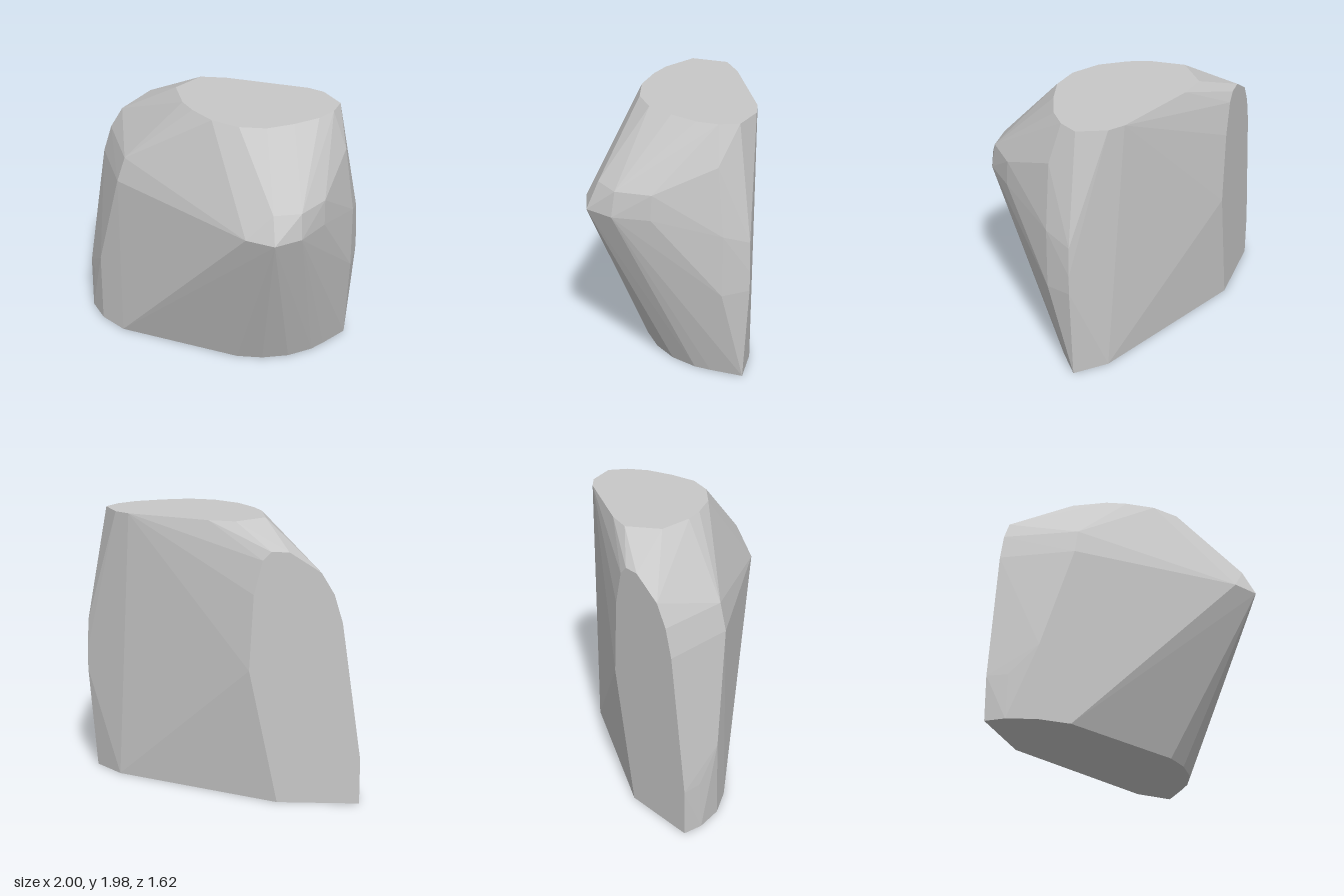
import * as THREE from 'three';
import { ConvexGeometry } from 'three/addons/geometries/ConvexGeometry.js';

const TOP = 1.975;
const BACK = -0.81;

// Flat foot of the boulder, as [x, z]
const foot = [
  [-1, -0.81], [-1, -0.66], [-0.93, -0.46], [-0.78, -0.27], [0.07, 0.19], [0.26, 0.23],
  [0.46, 0.22], [0.65, 0.15], [0.75, 0.08], [0.94, -0.07], [0.75, -0.27], [-0.42, -0.81],
];

// Flat cut top, as [x, z]
const crown = [
  [-0.32, -0.46], [-0.29, -0.2], [-0.23, -0.06], [-0.11, 0.12], [0.07, 0.25], [0.26, 0.29],
  [0.46, 0.24], [0.65, 0.16], [0.77, 0.06], [0.84, -0.07], [0.75, -0.27], [0.65, -0.35],
  [0.07, -0.59], [-0.12, -0.63],
];

// Outline of the flat back face above the foot, as [x, y]
const back = [
  [-1, 0.33], [-0.97, 0.53], [-0.86, 1.31], [-0.8, 1.51], [-0.71, 1.66],
  [-0.49, 1.8], [-0.37, 1.8], [-0.31, 1.74], [-0.25, 1.5], [-0.22, 0.96],
];

// Corners of the bulging front and sides, as [x, y, z]
const bulge = [
  [-0.98, 0.33, -0.66], [-0.93, 0.55, -0.46], [-0.78, 1.32, -0.27], [-0.72, 1.51, -0.27],
  [0.07, 1.32, 0.7], [0.26, 1.32, 0.81], [0.46, 1.32, 0.73], [0.46, 1.51, 0.7],
  [0.26, 1.51, 0.71], [0.65, 1.32, 0.53], [0.65, 1.51, 0.52], [0.86, 1.7, 0.12],
  [0.93, 1.2, 0.12], [0.93, 0.73, 0.12],
  [0.99, 1.13, -0.07], [1, 0.9, -0.07], [1, 0.75, -0.07],
];

export function createModel() {
  const stone = new THREE.MeshStandardMaterial({ color: 0xc8c8c8, flatShading: true });
  stone.name = 'pale grey stone';

  const points = [
    ...foot.map(([x, z]) => new THREE.Vector3(x, 0, z)),
    ...crown.map(([x, z]) => new THREE.Vector3(x, TOP, z)),
    ...back.map(([x, y]) => new THREE.Vector3(x, y, BACK)),
    ...bulge.map((p) => new THREE.Vector3(...p)),
  ];

  // Faceted boulder wrapped around all the corners
  const boulder = new THREE.Mesh(new ConvexGeometry(points), stone);
  boulder.name = 'boulder';

  const group = new THREE.Group();
  group.name = 'rock';
  group.add(boulder);
  return group;
}
